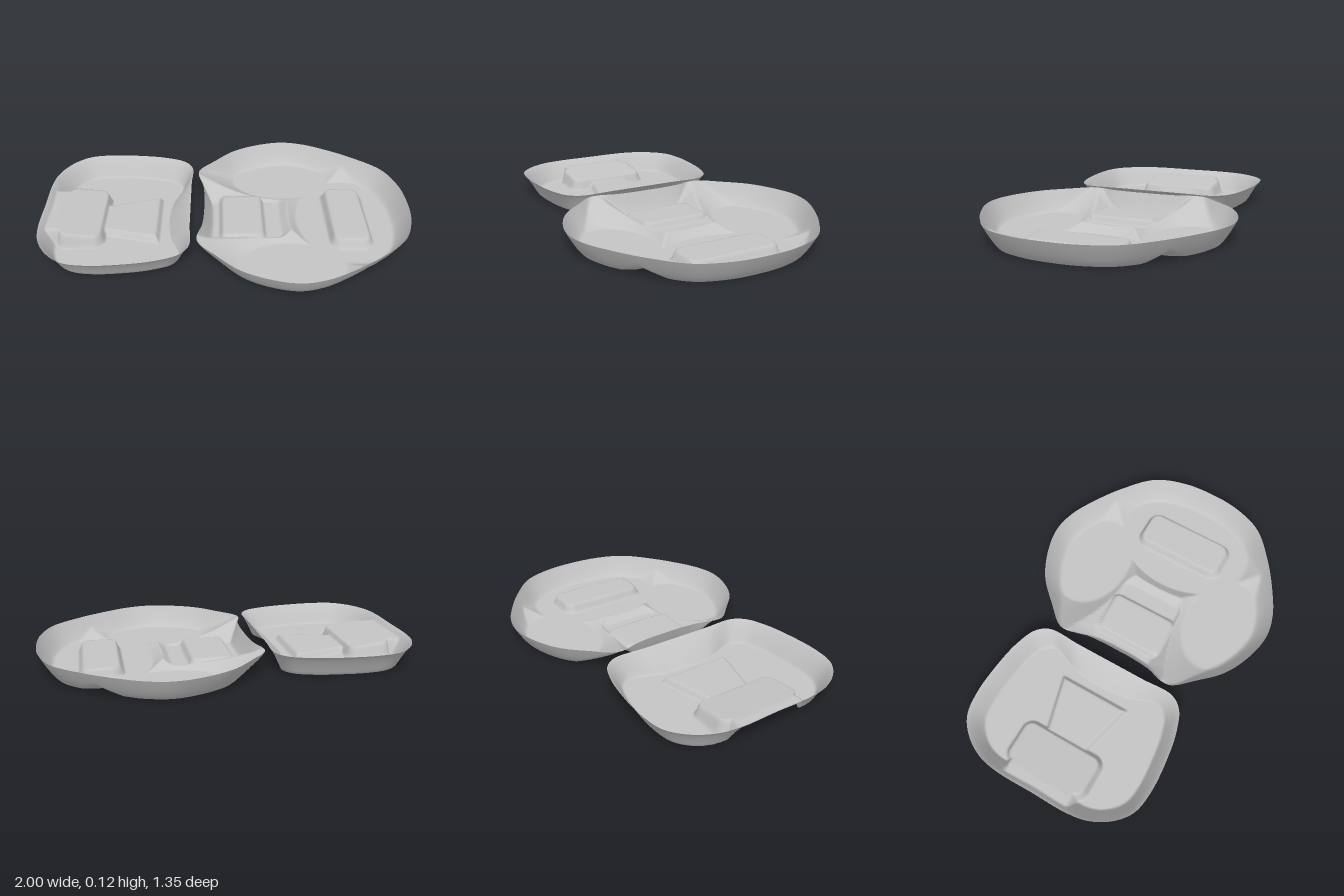
import * as THREE from 'three';

const RIM = 0.12;
const clamp01 = (v) => Math.min(1, Math.max(0, v));
const ease = (v) => { const u = clamp01(v); return u * u * (3 - 2 * u); };

// distance outside a rounded rectangle (negative inside)
function boxDistance(x, z, cx, cz, hx, hz, r) {
  const qx = Math.abs(x - cx) - hx + r, qz = Math.abs(z - cz) - hz + r;
  return Math.hypot(Math.max(qx, 0), Math.max(qz, 0)) + Math.min(Math.max(qx, qz), 0) - r;
}

// approximate distance outside an ellipse
function ellipseDistance(x, z, cx, cz, rx, rz) {
  const k = Math.hypot((x - cx) / rx, (z - cz) / rz);
  return (k - 1) * Math.min(rx, rz);
}

// raised pad: full height inside, steep sides
const pad = (distance, height, slope = 0.03) => height * (1 - ease((distance + slope) / slope));

// basin: flat floor inside, rising outside
const basin = (distance, floor, width) => floor + (RIM - floor) * clamp01(distance / width);

// open tray: rings shrink from the outline to the centre, height set by a rule
function tray(name, half, centreX, wallRule, floorRule, material) {
  const mirrored = half.slice(1, -1).reverse().map(([x, z]) => [x, -z]);
  const curve = new THREE.CatmullRomCurve3(
    [...half, ...mirrored].map(([x, z]) => new THREE.Vector3(x, 0, z)), true);
  const around = 260, rings = 72;
  const outline = curve.getSpacedPoints(around).slice(0, around);
  const positions = [centreX, floorRule(centreX, 0), 0];
  const indices = [];
  for (let j = 1; j <= rings; j++) {
    const t = j / rings;
    for (const p of outline) {
      const x = centreX + (p.x - centreX) * t, z = p.z * t;
      const inward = (1 - t) * Math.hypot(p.x - centreX, p.z);
      positions.push(x, Math.min(RIM, Math.max(wallRule(inward, x, z), floorRule(x, z))), z);
    }
  }
  for (let i = 0; i < around; i++) {
    const n = (i + 1) % around;
    indices.push(0, 1 + n, 1 + i);
    for (let j = 0; j < rings - 1; j++) {
      const a = 1 + j * around, b = a + around;
      indices.push(a + i, a + n, b + n, a + i, b + n, b + i);
    }
  }
  const geometry = new THREE.BufferGeometry();
  geometry.setAttribute('position', new THREE.Float32BufferAttribute(positions, 3));
  geometry.setIndex(indices);
  geometry.computeVertexNormals();
  const mesh = new THREE.Mesh(geometry, material);
  mesh.name = name;
  return mesh;
}

// small tray wall: wide in the middle of the inner side, steep at both lobes
function smallWall(inward, x, z) {
  const middle = x > -0.6 ? 0.125 : 0.095;
  const width = THREE.MathUtils.lerp(middle, 0.075, ease((Math.abs(z) - 0.15) / 0.2));
  return RIM * (1 - Math.pow(clamp01(inward / width), 1.2));
}

// large tray wall: steep at the top, rounded below, tighter at the waist
function largeWall(inward, x, z) {
  const width = x < 0.1 && Math.abs(z) < 0.25 ? 0.055 : 0.08;
  return RIM * Math.pow(1 - clamp01(inward / width), 1.3);
}

// small tray: end pad with a neck out to the rim and a tapered middle pad
function smallFloor(x, z) {
  const slope = 0.06 + 0.03 * clamp01((-0.67 - x) / 0.25);
  const endPad = pad(boxDistance(x, z, -0.79, 0, 0.135, 0.25, 0.07), slope, 0.03);
  const neck = pad(boxDistance(x, z, -0.95, 0, 0.2, 0.22, 0.02), slope, 0.035);
  const taper = 0.14 + 0.07 * clamp01((x + 0.65) / 0.27);
  const middlePad = pad(boxDistance(x, z, -0.53, 0, 0.17, taper, 0.02), 0.035, 0.03);
  return Math.max(0.003, endPad, neck, middlePad);
}

// large tray: basins meet in ridges; pads rise from the channel and end lobe
function largeFloor(x, z) {
  const sideLobe = basin(ellipseDistance(x, Math.abs(z), 0.33, 0.415, 0.285, 0.205), 0, 0.16);
  const endLobe = basin(ellipseDistance(x, z, 0.685, 0, 0.295, 0.39), 0, 0.15);
  const channel = basin(boxDistance(x, z, 0.1, 0, 0.2, 0.17, 0.03), 0.008, 0.14);
  const middlePad = pad(boxDistance(x, z, 0.085, 0, 0.135, 0.21, 0.05), 0.045, 0.03);
  const endPad = pad(boxDistance(x, z, 0.67, 0, 0.12, 0.27, 0.07), 0.05, 0.03);
  return Math.max(Math.min(sideLobe, endLobe, channel), middlePad, endPad);
}

export function createModel() {
  const grey = new THREE.MeshStandardMaterial({ color: 0xc4c4c4, side: THREE.DoubleSide });
  grey.name = 'grey';
  const group = new THREE.Group();
  group.name = 'trays';

  const smallHalf = [
    [-0.2, 0], [-0.2, 0.2], [-0.2, 0.38], [-0.25, 0.45], [-0.36, 0.495], [-0.5, 0.52],
    [-0.7, 0.53], [-0.83, 0.505], [-0.92, 0.43], [-0.98, 0.32], [-1, 0.2], [-1, 0],
  ];
  const largeHalf = [
    [1, 0], [0.985, 0.17], [0.92, 0.34], [0.77, 0.48], [0.62, 0.58], [0.48, 0.65],
    [0.35, 0.675], [0.2, 0.645], [0.05, 0.57], [-0.07, 0.45], [-0.155, 0.35],
    [-0.16, 0.29], [-0.135, 0.2], [-0.125, 0.08], [-0.125, 0],
  ];

  group.add(tray('smallTray', smallHalf, -0.6, smallWall, smallFloor, grey));
  group.add(tray('largeTray', largeHalf, 0.42, largeWall, largeFloor, grey));
  return group;
}
